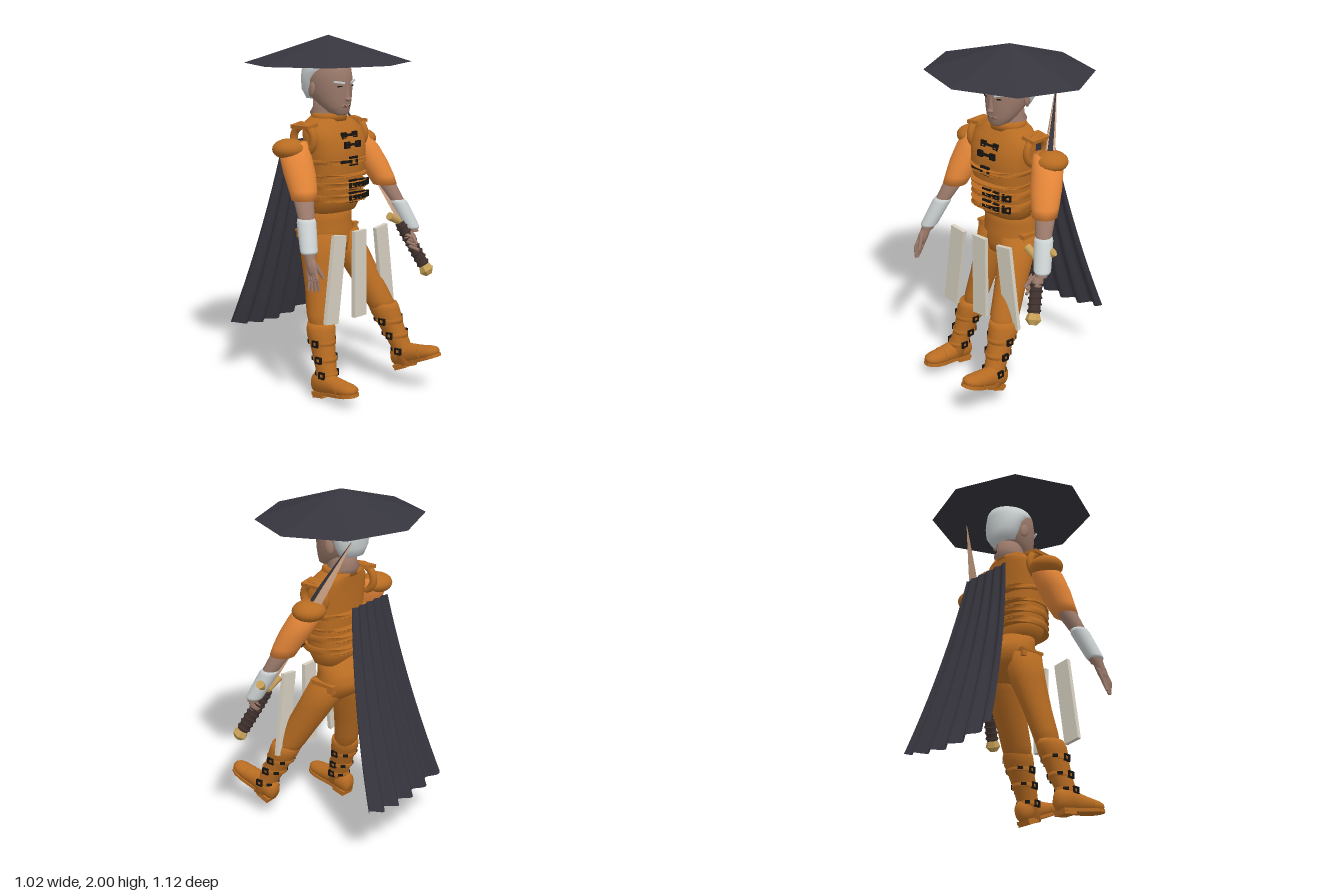
import * as THREE from 'three';

const CX = -0.028; // the body's midline
const V = (p) => new THREE.Vector3(...p);
const mat = (name, color) => Object.assign(new THREE.MeshStandardMaterial({ color }), { name });
const leather = mat('leather', 0xb86c22), sleeve = mat('sleeveCloth', 0xe58638), cream = mat('creamPanel', 0xd6d0c0);
const skin = mat('skin', 0x9a796a), white = mat('whiteHairAndCuffs', 0xcbd1d1), dark = mat('darkCloth', 0x36353e);
const black = mat('blackMetal', 0x16130f), wrap = mat('gripWrap', 0x40322e), gold = mat('gold', 0xc8a157), steel = mat('blade', 0xd2a888);
dark.side = THREE.DoubleSide;

// Capped skin through elliptical rings [x, y, z, rx, rz], ordered bottom to top
function loft(rings, n = 24, power = 1) {
  const pos = [], idx = [];
  const sp = (v) => Math.sign(v) * Math.pow(Math.abs(v), power);
  for (const [x, y, z, rx, rz = rx] of rings)
    for (let i = 0; i < n; i++) {
      const a = (i / n) * Math.PI * 2;
      pos.push(x + sp(Math.sin(a)) * rx, y, z + sp(Math.cos(a)) * rz);
    }
  const last = rings.length - 1, c = rings.length * n;
  pos.push(...rings[0].slice(0, 3), ...rings[last].slice(0, 3));
  for (let i = 0; i < n; i++) {
    const j = (i + 1) % n;
    for (let k = 0; k < last; k++) {
      const a = k * n + i, b = k * n + j;
      idx.push(a, b, b + n, a, b + n, a + n);
    }
    idx.push(c, j, i, c + 1, last * n + i, last * n + j);
  }
  const g = new THREE.BufferGeometry();
  g.setAttribute('position', new THREE.Float32BufferAttribute(pos, 3));
  g.setIndex(idx);
  g.computeVertexNormals();
  return g;
}

const faceted = (g) => { const f = g.toNonIndexed(); f.computeVertexNormals(); return f; };

export function createModel() {
  const model = new THREE.Group();
  model.name = 'wanderingSwordsman';
  const add = (name, geo, m, p = [0, 0, 0], r = [0, 0, 0], s = [1, 1, 1], parent = model) => {
    const mesh = new THREE.Mesh(geo, m);
    mesh.name = name;
    mesh.position.set(...p); mesh.rotation.set(...r); mesh.scale.set(...s);
    parent.add(mesh);
    return mesh;
  };
  const box = (name, size, m, p, r, parent) => add(name, new THREE.BoxGeometry(...size), m, p, r, [1, 1, 1], parent);
  const ball = (name, m, p, s, r) => add(name, new THREE.SphereGeometry(1, 20, 14), m, p, r, s);
  // Tapered rod between two points
  const rod = (name, a, b, ra, rb, m, sides = 12) => {
    const d = V(b).sub(V(a)), mesh = add(name, new THREE.CylinderGeometry(rb, ra, d.length(), sides), m);
    mesh.position.copy(V(a).addScaledVector(d, 0.5));
    mesh.quaternion.setFromUnitVectors(new THREE.Vector3(0, 1, 0), d.normalize());
    return mesh;
  };
  // Rectangular buckle frame with a hole
  const buckle = (p, w, h, ry = 0) => {
    const rect = (a, b) => [[-a, -b], [a, -b], [a, b], [-a, b]].map(([x, y]) => new THREE.Vector2(x / 2, y / 2));
    const s = new THREE.Shape(rect(w, h)), k = Math.min(w, h) * 0.45;
    s.holes.push(new THREE.Path(rect(w - k, h - k).reverse()));
    add('buckle', new THREE.ExtrudeGeometry(s, { depth: 0.014, bevelEnabled: false }), black, p, [0, ry, 0]);
  };

  // Octagonal straw hat
  add('hat', faceted(new THREE.ConeGeometry(0.492, 0.15, 8)), dark, [-0.025, 1.925, -0.067], [0, 0, 0], [1, 1, 0.9]);

  // Head and face
  add('neck', loft([[CX, 1.53, -0.07, 0.09, 0.08], [CX, 1.572, -0.085, 0.088, 0.09], [CX, 1.6, -0.075, 0.078, 0.082], [CX, 1.66, -0.07, 0.075, 0.085]]), skin);
  add('head', loft([[CX, 1.562, 0.025, 0.03, 0.03], [CX, 1.578, 0.012, 0.06, 0.058], [CX, 1.615, -0.015, 0.085, 0.09], [CX, 1.65, -0.038, 0.1, 0.117],
    [CX, 1.7, -0.055, 0.114, 0.135], [CX, 1.76, -0.062, 0.119, 0.144], [CX, 1.83, -0.068, 0.114, 0.138], [CX, 1.88, -0.07, 0.07, 0.09]], 32), skin);
  add('hair', loft([[CX, 1.65, -0.135, 0.08, 0.065], [CX, 1.7, -0.138, 0.112, 0.077], [CX, 1.76, -0.128, 0.124, 0.09],
    [CX, 1.8, -0.105, 0.126, 0.115], [CX, 1.83, -0.08, 0.122, 0.14], [CX, 1.88, -0.08, 0.095, 0.11], [CX, 1.91, -0.075, 0.03, 0.04]], 32), white);
  rod('nose', [CX, 1.65, 0.072], [CX, 1.74, 0.074], 0.02, 0.008, skin);
  ball('noseTip', skin, [CX, 1.654, 0.081], [0.02, 0.013, 0.018]);
  box('mouth', [0.045, 0.004, 0.006], black, [CX, 1.617, 0.074]);
  ball('lips', skin, [CX, 1.616, 0.066], [0.038, 0.014, 0.012]);
  for (const s of [-1, 1]) {
    box('eyebrow', [0.065, 0.011, 0.009], white, [CX + s * 0.056, 1.748, 0.067], [0, s * 0.42, s * 0.14]);
    box('eye', [0.028, 0.006, 0.006], black, [CX + s * 0.05, 1.725, 0.067], [0, s * 0.42, 0]);
    ball('ear', skin, [CX + s * 0.12, 1.705, -0.08], [0.013, 0.042, 0.026], [0.2, s * 0.3, 0]);
  }

  // Leather vest
  add('vest', loft([[CX, 1.02, -0.045, 0.155, 0.1], [CX, 1.09, -0.025, 0.17, 0.12], [CX, 1.2, -0.02, 0.175, 0.124], [CX, 1.32, -0.012, 0.188, 0.132],
    [CX, 1.42, -0.02, 0.198, 0.128], [CX, 1.49, -0.04, 0.195, 0.11], [CX, 1.53, -0.06, 0.15, 0.095], [CX, 1.55, -0.065, 0.1, 0.09]], 36, 0.8), leather);
  add('collar', loft([[CX, 1.53, -0.06, 0.11, 0.1], [CX, 1.56, -0.06, 0.105, 0.095], [CX, 1.572, -0.06, 0.095, 0.09]], 28), leather);
  for (const [y, h, g] of [[1.18, 0.036, 0], [1.11, 0.036, 0], [1.315, 0.024, 0.009], [1.235, 0.014, 0]])
    add('belt', loft([[CX, y - h / 2, -0.02, 0.17], [CX, y - h / 2, -0.02, 0.184 + g, 0.134 + g], [CX, y + h / 2, -0.02, 0.184 + g, 0.134 + g], [CX, y + h / 2, -0.02, 0.17]], 36, 0.8), leather);
  for (const y of [1.18, 1.11]) {
    buckle([-0.025, y, 0.109], 0.06, 0.058);
    buckle([0.045, y, 0.109], 0.042, 0.052);
    box('beltTongue', [0.07, 0.014, 0.014], black, [0.01, y, 0.116]);
    box('beltStud', [0.014, 0.044, 0.014], black, [0.09, y, 0.107], [0, 0.3, 0]);
    buckle([0.115, y, 0.092], 0.034, 0.036, 0.45);
  }
  buckle([-0.03, 1.315, 0.118], 0.06, 0.05);
  box('chestTongue', [0.08, 0.016, 0.014], black, [-0.09, 1.315, 0.122]);
  for (const [y, z] of [[1.455, 0.082], [1.405, 0.108]]) {
    box('claspBar', [0.1, 0.014, 0.014], black, [CX, y, z + 0.006], [y > 1.43 ? -0.5 : -0.2, 0, 0]);
    for (const s of [-1, 1]) buckle([CX + s * 0.045, y, z], 0.036, 0.036);
  }

  // Hips, pockets and the three hanging panels
  add('hips', loft([[-0.02, 0.79, -0.03, 0.12, 0.08], [-0.022, 0.85, -0.07, 0.168, 0.13], [CX, 0.92, -0.09, 0.166, 0.145], [CX, 0.97, -0.075, 0.158, 0.12], [CX, 1.05, -0.05, 0.145, 0.095]], 32), leather);
  for (const s of [-1, 1]) {
    box('hipPocket', [0.03, 0.04, 0.15], leather, [CX + s * 0.162, 0.895, -0.075], [-0.06, 0, 0]);
    box('pocketFlap', [0.04, 0.014, 0.16], leather, [CX + s * 0.162, 0.918, -0.075], [-0.06, 0, 0]);
  }
  for (const [x, y, tilt] of [[-0.233, 0.68, -0.14], [-0.03, 0.68, 0], [0.187, 0.68, 0.14]])
    box('hangingPanel', [0.1, 0.495, 0.024], cream, [x, y, 0.168], [0, 0, tilt]);

  // Legs and tall boots
  const legs = [
    { trouser: [[0.17, 0.42, 0.19, 0.07], [0.15, 0.5, 0.155, 0.08, 0.09], [0.128, 0.6, 0.1, 0.082, 0.097], [0.095, 0.75, 0.015, 0.095, 0.108], [0.06, 0.9, -0.06, 0.1, 0.115]],
      boot: [[0.21, 0.13, 0.33, 0.052, 0.06], [0.203, 0.21, 0.3, 0.054, 0.064], [0.188, 0.3, 0.255, 0.064, 0.072], [0.178, 0.38, 0.215, 0.072, 0.08], [0.175, 0.41, 0.2, 0.082, 0.088], [0.17, 0.45, 0.185, 0.084, 0.092], [0.165, 0.48, 0.18, 0.076, 0.088]],
      foot: [0.208, 0.095, 0.285], pitch: -0.4, yaw: 0.02 },
    { trouser: [[-0.21, 0.36, 0.045, 0.062], [-0.2, 0.46, 0.02, 0.07, 0.075], [-0.17, 0.6, -0.008, 0.076, 0.085], [-0.138, 0.75, -0.04, 0.092, 0.105], [-0.118, 0.9, -0.065, 0.1, 0.115]],
      boot: [[-0.265, 0.06, 0.15, 0.05, 0.058], [-0.255, 0.14, 0.125, 0.052, 0.062], [-0.24, 0.22, 0.095, 0.06, 0.068], [-0.23, 0.31, 0.068, 0.068, 0.075], [-0.225, 0.34, 0.058, 0.078, 0.082], [-0.22, 0.38, 0.05, 0.08, 0.084], [-0.215, 0.41, 0.045, 0.072, 0.08]],
      foot: [-0.262, 0.006, 0.08], pitch: -0.17, yaw: -0.09 }];
  const footRings = [[0, -0.03, -0.06, 0.03, 0.035], [0, -0.01, -0.07, 0.048, 0.06], [0, 0.05, -0.075, 0.055, 0.07], [0, 0.12, -0.062, 0.05, 0.058],
    [0, 0.2, -0.048, 0.055, 0.044], [0, 0.25, -0.043, 0.052, 0.037], [0, 0.28, -0.042, 0.04, 0.028], [0, 0.297, -0.042, 0.02, 0.014]];
  const solePts = [[-0.045, -0.02], [0.045, -0.02], [0.042, 0.1], [0.056, 0.2], [0.053, 0.25], [0.038, 0.283], [0.015, 0.298], [-0.015, 0.298], [-0.038, 0.283], [-0.053, 0.25], [-0.056, 0.2], [-0.042, 0.1]];
  const sole = new THREE.ExtrudeGeometry(new THREE.Shape(solePts.map(([x, z]) => new THREE.Vector2(x, -z))), { depth: 0.018, bevelEnabled: false }).rotateX(-Math.PI / 2);
  for (const { trouser, boot, foot, pitch, yaw } of legs) {
    add('trouserLeg', loft(trouser), leather);
    add('boot', loft(boot), leather);
    const f = new THREE.Group();
    f.name = 'foot';
    f.position.set(...foot); f.rotation.set(pitch, yaw, 0);
    model.add(f);
    add('shoe', loft(footRings).rotateX(Math.PI / 2), leather, [0, 0, 0], [0, 0, 0], [1, 1, 1], f);
    add('sole', sole, leather, [0, 0.008, 0], [0, 0, 0], [1, 1, 1], f);
    box('heel', [0.085, 0.022, 0.085], leather, [0, 0.004, 0.025], [0, 0, 0], f);
    add('toeSeam', new THREE.TorusGeometry(0.05, 0.004, 6, 20), leather, [0, 0.05, 0.19], [0, 0, 0], [1.08, 0.85, 1], f);
    // Strapped shin with buckles on both sides
    for (const [x, y, z, rx, rz] of boot.slice(1, 4)) {
      add('bootStrap', loft([[x, y - 0.013, z, rx], [x, y - 0.011, z, rx + 0.005, rz + 0.005], [x, y + 0.011, z, rx + 0.005, rz + 0.005], [x, y + 0.013, z, rx]]), leather);
      for (const s of [-1, 1]) {
        buckle([x + s * (rx - 0.002), y, z + 0.012], 0.042, 0.038, s * Math.PI / 2);
        box('strapTip', [0.014, 0.018, 0.03], black, [x + s * rx * 0.72, y, z - rz * 0.72], [0, s * 0.7, 0]);
      }
    }
  }

  // Arms, shoulder pads and cuffs, mirrored; the right arm hangs a little closer
  for (const s of [1, -1]) {
    const X = (x) => CX + s * (x - CX);
    const hang = (x) => (s > 0 ? x : X(x) + Math.min(0.05, (x - 0.23) * 0.5));
    const arm = (name, rings, m) => add(name, loft(rings.map(([x, ...r]) => [hang(x), ...r])), m);
    add('armhole', new THREE.TorusGeometry(0.075, 0.022, 10, 28), leather, [X(0.185), 1.44, -0.055], [0, Math.PI / 2, 0]);
    box('shoulderFlap', [0.085, 0.02, 0.13], leather, [X(0.18), 1.515, -0.055], [0, 0, s * -0.15]);
    ball('shoulderPad', leather, [X(0.27), 1.393, -0.085], [0.095, 0.057, 0.092]);
    arm('sleeve', [[0.34, 1.13, 0.045, 0.07], [0.326, 1.18, 0.025, 0.078], [0.298, 1.26, -0.012, 0.088], [0.268, 1.35, -0.055, 0.088], [0.23, 1.43, -0.07, 0.06]], sleeve);
    arm('forearm', [[0.44, 0.85, 0.18, 0.033], [0.387, 1.02, 0.108, 0.043], [0.34, 1.16, 0.035, 0.058]], skin);
    arm('cuff', [[0.441, 0.868, 0.172, 0.042], [0.436, 0.88, 0.168, 0.048], [0.39, 1.02, 0.108, 0.053], [0.384, 1.04, 0.1, 0.047]], white);
  }

  // Open right hand
  ball('rightPalm', skin, [-0.46, 0.8, 0.205], [0.022, 0.055, 0.035], [-0.35, 0, -0.15]);
  rod('rightWrist', [-0.45, 0.87, 0.175], [-0.46, 0.8, 0.203], 0.03, 0.026, skin);
  for (let i = 0; i < 4; i++) {
    const z = 0.18 + i * 0.018, knuckle = [-0.474, 0.73 + i * 0.004, z + 0.022];
    rod('rightFinger', [-0.465, 0.785, z], knuckle, 0.011, 0.01, skin, 8);
    rod('rightFingertip', knuckle, [-0.49 + i * 0.008, 0.667 + Math.abs(i - 1.5) * 0.008, z + 0.028], 0.01, 0.006, skin, 8);
  }
  rod('rightThumb', [-0.45, 0.815, 0.225], [-0.432, 0.74, 0.265], 0.013, 0.008, skin, 8);

  // Left hand closed round the grip
  ball('leftPalm', skin, [0.415, 0.815, 0.18], [0.03, 0.055, 0.035], [-0.45, 0, 0.3]);
  for (let i = 0; i < 4; i++) {
    const y = 0.845 - i * 0.024, z = 0.175 + i * 0.012;
    rod('leftFinger', [0.375 + i * 0.004, y, z - 0.015], [0.385 + i * 0.005, y - 0.02, z + 0.045], 0.012, 0.009, skin, 8);
  }
  rod('leftThumb', [0.4, 0.84, 0.2], [0.385, 0.79, 0.255], 0.013, 0.009, skin, 8);

  // Sword held behind the arm: grip, pommel, guard and blade
  const hiltTop = [0.378, 0.905, 0.132], hiltEnd = [0.453, 0.655, 0.252];
  const grip = rod('grip', hiltEnd, hiltTop, 0.033, 0.033, wrap);
  for (let i = 0; i < 8; i++)
    add('gripRing', new THREE.TorusGeometry(0.033, 0.007, 6, 16), wrap, [0, -0.13 + i * 0.035, 0], [Math.PI / 2, 0.12, 0], [1, 1, 1], grip);
  add('pommel', faceted(new THREE.CylinderGeometry(0.03, 0.045, 0.04, 6)), gold, [0, -0.16, 0], [0, 0, 0], [1, 1, 1], grip);
  add('pommelEnd', faceted(new THREE.CylinderGeometry(0.045, 0.022, 0.028, 6)), gold, [0, -0.194, 0], [0, 0, 0], [1, 1, 1], grip);
  rod('guard', hiltTop, [0.287, 0.955, 0.125], 0.019, 0.024, gold, 10);
  rod('guard', hiltTop, [0.463, 0.975, 0.105], 0.019, 0.024, gold, 10);
  const blade = [[0.376, 0.93, 0.125, 0.025], [0.252, 1.38, -0.085, 0.038], [0.21, 1.53, -0.155, 0.03], [0.14, 1.78, -0.27, 0.002]];
  add('blade', faceted(loft(blade, 4)), steel);
  add('bladeDarkEdge', faceted(loft(blade.map(([x, y, z, r]) => [x + r * 0.5, y, z + r * 0.6, r * 0.55]), 4)), dark);

  // Pleated cape, flaring and sweeping back towards the hem
  const cape = new THREE.PlaneGeometry(1, 1, 80, 16), cp = cape.attributes.position;
  for (let i = 0; i < cp.count; i++) {
    const u = cp.getX(i) * 2, t = 0.5 - cp.getY(i);
    const half = 0.16 + 0.175 * t;
    const pleat = Math.cos((u + 0.9) * Math.PI * 5) * (0.006 + 0.019 * t);
    cp.setXYZ(i, -0.027 + u * half, 1.405 - t * (1.125 - 0.05 * u * u), -0.268 - 0.16 * t - 0.108 * t * t - pleat);
  }
  cape.computeVertexNormals();
  add('cape', cape, dark);
  return model;
}
